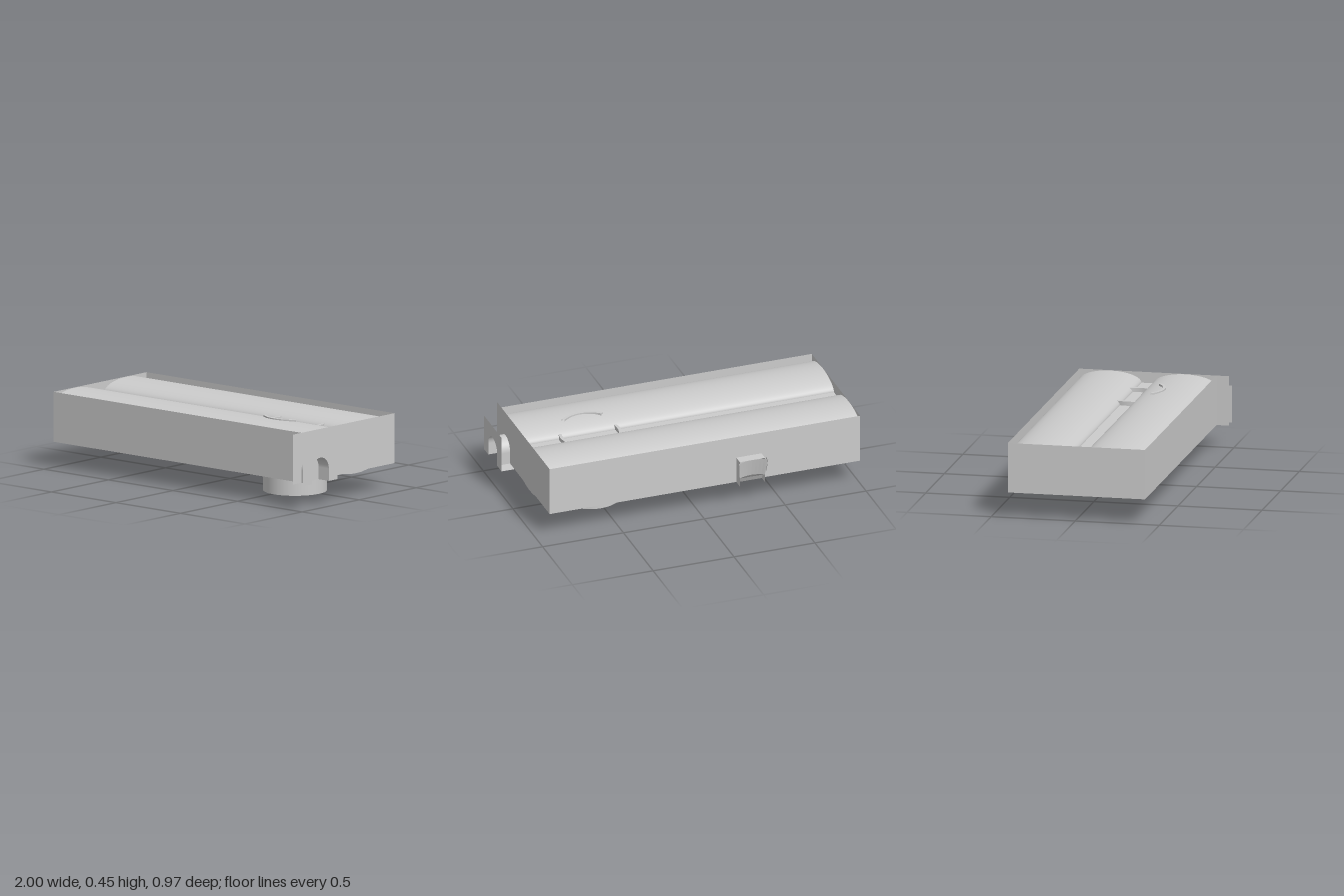
import * as THREE from 'three';

const mat = new THREE.MeshStandardMaterial({ color: 0xcccccc, side: THREE.DoubleSide });
const flat = new THREE.MeshStandardMaterial({ color: 0xcccccc, side: THREE.DoubleSide, flatShading: true });

const X0 = -1, X1 = 0.92, ZB = -0.4, ZF = 0.415, YB = 0.15, YT = 0.445;
const LEN = X1 - X0, MID = (X0 + X1) / 2;

export function createModel() {
  const model = new THREE.Group();
  const add = (name, geometry, material = mat, parent = model) => {
    const mesh = new THREE.Mesh(geometry, material);
    mesh.name = name;
    parent.add(mesh);
    return mesh;
  };
  // Flat sheet outlined by [z, y] points, facing +x at the given x
  const outline = (pts) => new THREE.Shape(pts.map(([z, y]) => new THREE.Vector2(-z, y)));
  const endSheet = (name, shape, x, parent) =>
    add(name, new THREE.ShapeGeometry(shape, 16).rotateY(Math.PI / 2).translate(x, 0, 0), flat, parent);

  // Casing: thin walls and floor
  const wall = (z) => new THREE.PlaneGeometry(LEN, YT - YB).translate(MID, (YT + YB) / 2, z);
  add('frontWall', wall(ZF), flat);
  add('backWall', wall(0).rotateY(Math.PI).translate(2 * MID, 0, ZB), flat);
  add('floor', new THREE.PlaneGeometry(LEN, ZF - ZB).rotateX(Math.PI / 2).translate(MID, YB, (ZF + ZB) / 2), flat);
  endSheet('leftEnd', outline([[ZF, YB], [ZB, YB], [ZB, YT], [ZF, YT]]), X0);

  // Right end plate reaches past the front and sags a little below the floor
  endSheet('rightEnd', outline([[0.49, YB], [0.05, YB], [0, 0.142], [-0.05, 0.138], [-0.11, 0.14],
    [-0.17, YB], [ZB, YB], [ZB, YT], [0.49, YT]]), X1);

  // Two long arched covers with a flat channel between them
  const arch = (zc, r) => {
    const geo = new THREE.CylinderGeometry(1, 1, LEN, 28, 1, true, 0, Math.PI);
    geo.rotateZ(Math.PI / 2).scale(1, 0.065, r);
    return geo.translate(MID, 0.378, zc);
  };
  add('backCover', arch(-0.215, 0.185));
  add('frontCover', arch(0.228, 0.187));
  add('channel', new THREE.BoxGeometry(LEN, 0.01, 0.08).translate(MID, 0.375, 0.005), flat);
  add('underSeam', new THREE.BoxGeometry(0.56, 0.01, 0.05).translate(-0.56, 0.149, 0.015), flat);

  // Round foot: a hollow tube with a recessed base, just breaking through the top
  const foot = new THREE.Group();
  foot.name = 'roundFoot';
  foot.position.set(0.517, 0, 0.015);
  model.add(foot);
  const tube = (y0, y1, arc) => new THREE.LatheGeometry(
    [[0.167, y0], [0.185, y0], [0.185, y1], [0.167, y1], [0.167, y0]].map(([x, y]) => new THREE.Vector2(x, y)),
    arc ? 20 : 48, arc ? -arc / 2 : 0, arc || Math.PI * 2);
  // Separate vertices keep the rim sharp
  const tubeWall = (r) => new THREE.CylinderGeometry(r, r, 0.405, 48, 1, true).translate(0, 0.2025, 0);
  add('footOuterWall', tubeWall(0.185), mat, foot);
  add('footInnerWall', tubeWall(0.167), mat, foot);
  for (const [name, y, s] of [['footBottomRim', 0, 1], ['footTopRim', 0.405, -1]]) {
    add(name, new THREE.RingGeometry(0.167, 0.185, 48).rotateX(s * Math.PI / 2).translate(0, y, 0), mat, foot);
  }
  add('footBase', new THREE.CircleGeometry(0.167, 48).rotateX(Math.PI / 2).translate(0, 0.012, 0), mat, foot);
  add('footTopLip', tube(0.4, 0.449, 1.5), flat, foot);

  // Cable outlet: an arched tunnel with a face plate
  const outlet = new THREE.Group();
  outlet.name = 'cableOutlet';
  model.add(outlet);
  const zc = 0.34, r = 0.075, ySpring = 0.223;
  const plate = new THREE.Shape();
  plate.moveTo(-0.49, YB).lineTo(-zc - r, YB).lineTo(-zc - r, ySpring);
  plate.absarc(-zc, ySpring, r, Math.PI, 0, true);
  plate.lineTo(-zc + r, YB).lineTo(-0.19, YB).lineTo(-0.19, 0.37).lineTo(-0.49, 0.37);
  endSheet('outletPlate', plate, 1, outlet);
  const depth = 1 - X1;
  add('tunnelArch', new THREE.CylinderGeometry(r, r, depth, 24, 1, true, 0, Math.PI)
    .rotateZ(Math.PI / 2).translate(X1 + depth / 2, ySpring, zc), mat, outlet);
  for (const s of [-1, 1]) {
    add('tunnelSide', new THREE.PlaneGeometry(depth, ySpring - YB)
      .translate(X1 + depth / 2, (ySpring + YB) / 2, zc + s * r), flat, outlet);
  }
  add('outletFloor', new THREE.PlaneGeometry(depth, 0.075).rotateX(-Math.PI / 2)
    .translate(X1 + depth / 2, YB + 0.001, 0.2275), flat, outlet);

  // Rear clip: cheeks, top and a flared, hollowed face
  const clip = new THREE.Group();
  clip.name = 'rearClip';
  model.add(clip);
  const cx = -0.312, half = 0.078;
  for (const s of [-1, 1]) {
    endSheet('clipCheek', outline([[ZB, YB], [-0.46, YB], [-0.46, 0.31], [ZB, 0.31]]), cx + s * half, clip);
  }
  add('clipTop', new THREE.PlaneGeometry(2 * half, 0.06).rotateX(-Math.PI / 2).translate(cx, 0.31, -0.43), flat, clip);
  const face = new THREE.PlaneGeometry(2, 1, 8, 3);
  const rows = [[0.31, -0.482, 0.09], [0.2, -0.457, 0.078], [0.18, -0.42, 0.078], [0.15, -0.405, 0.078]];
  const p = face.attributes.position;
  for (let i = 0; i < p.count; i++) {
    const [y, z, w] = rows[Math.floor(i / 9)];
    const u = p.getX(i);
    const hollow = y > 0.19 ? 0.022 * (1 - u * u) : 0;
    p.setXYZ(i, cx + u * w, y, z + hollow);
  }
  face.computeVertexNormals();
  add('clipFace', face, flat, clip);
  // Outer ears of the flare
  for (const s of [-1, 1]) {
    endSheet('clipEar', outline([[-0.457, 0.2], [-0.484, 0.305], [-0.455, 0.312]]), cx + s * (half + 0.009), clip);
  }
  return model;
}
